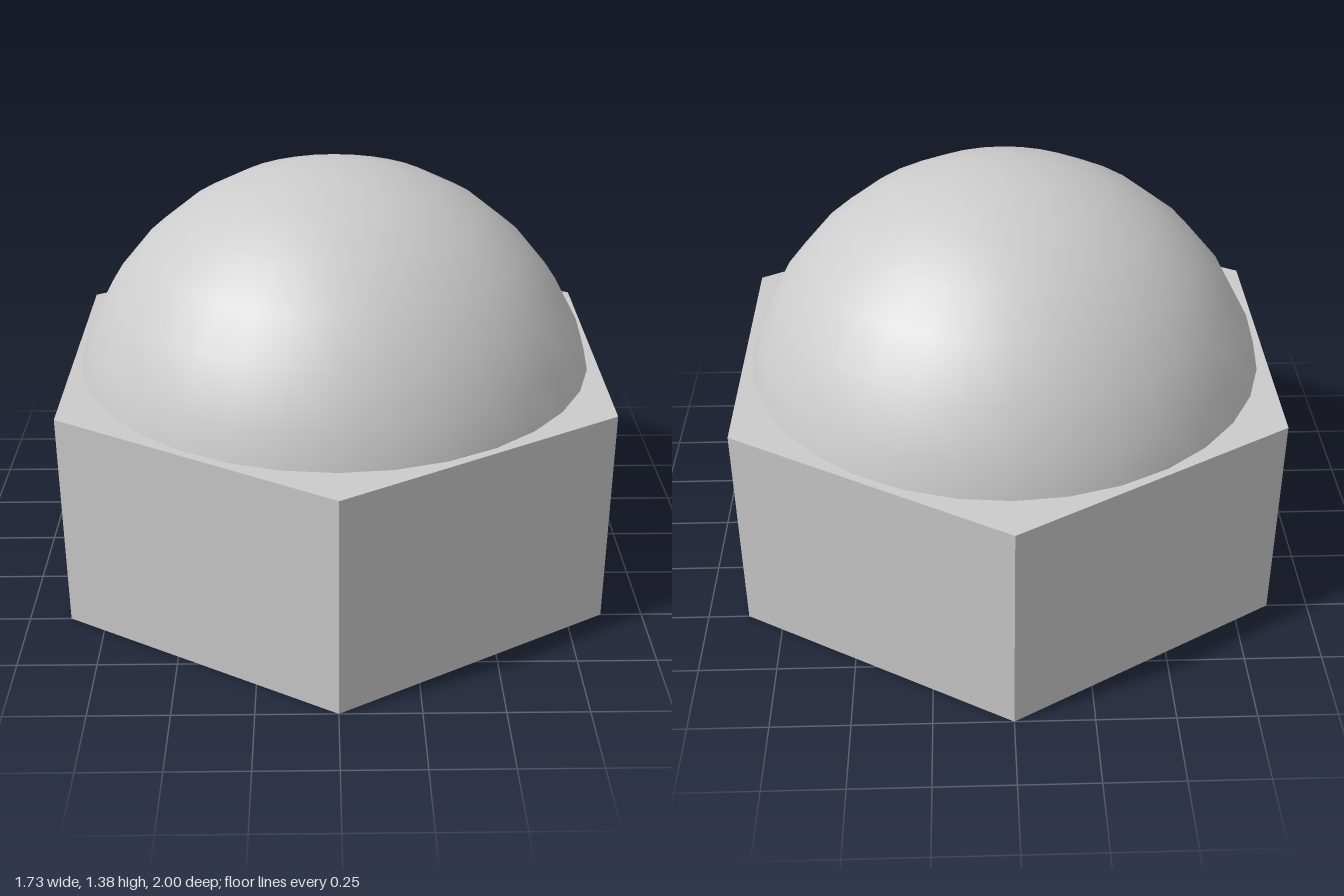
import * as THREE from 'three';

const HEX_HEIGHT = 0.73;
const DOME_RADIUS = 0.875;
const DOME_CENTRE = 0.504;
const SIDES = 32;

export function createModel() {
  const model = new THREE.Group();
  model.name = 'domedHexCap';
  const add = (name, geometry, y, flatShading = false) => {
    const material = new THREE.MeshStandardMaterial({ color: 0xcccccc, side: THREE.DoubleSide, flatShading });
    const mesh = new THREE.Mesh(geometry, material);
    mesh.name = name;
    mesh.position.y = y;
    model.add(mesh);
  };

  // Thin hexagonal shell: six walls and a flat top, open below
  const shell = [[1, 0], [1, HEX_HEIGHT], [0, HEX_HEIGHT]].map(([r, y]) => new THREE.Vector2(r, y));
  add('hexShell', new THREE.LatheGeometry(shell, 6), 0, true);

  // Dome, sunk a little through the top of the shell
  const domeAngle = Math.PI / 2 * 7 / 8;
  add('dome', new THREE.SphereGeometry(DOME_RADIUS, SIDES, 7, 0, Math.PI * 2, 0, domeAngle), DOME_CENTRE);

  // Flat disc closing the dome underneath
  const base = new THREE.CircleGeometry(DOME_RADIUS * Math.sin(domeAngle), SIDES).rotateX(Math.PI / 2);
  add('domeBase', base, DOME_CENTRE + DOME_RADIUS * Math.cos(domeAngle));

  return model;
}
